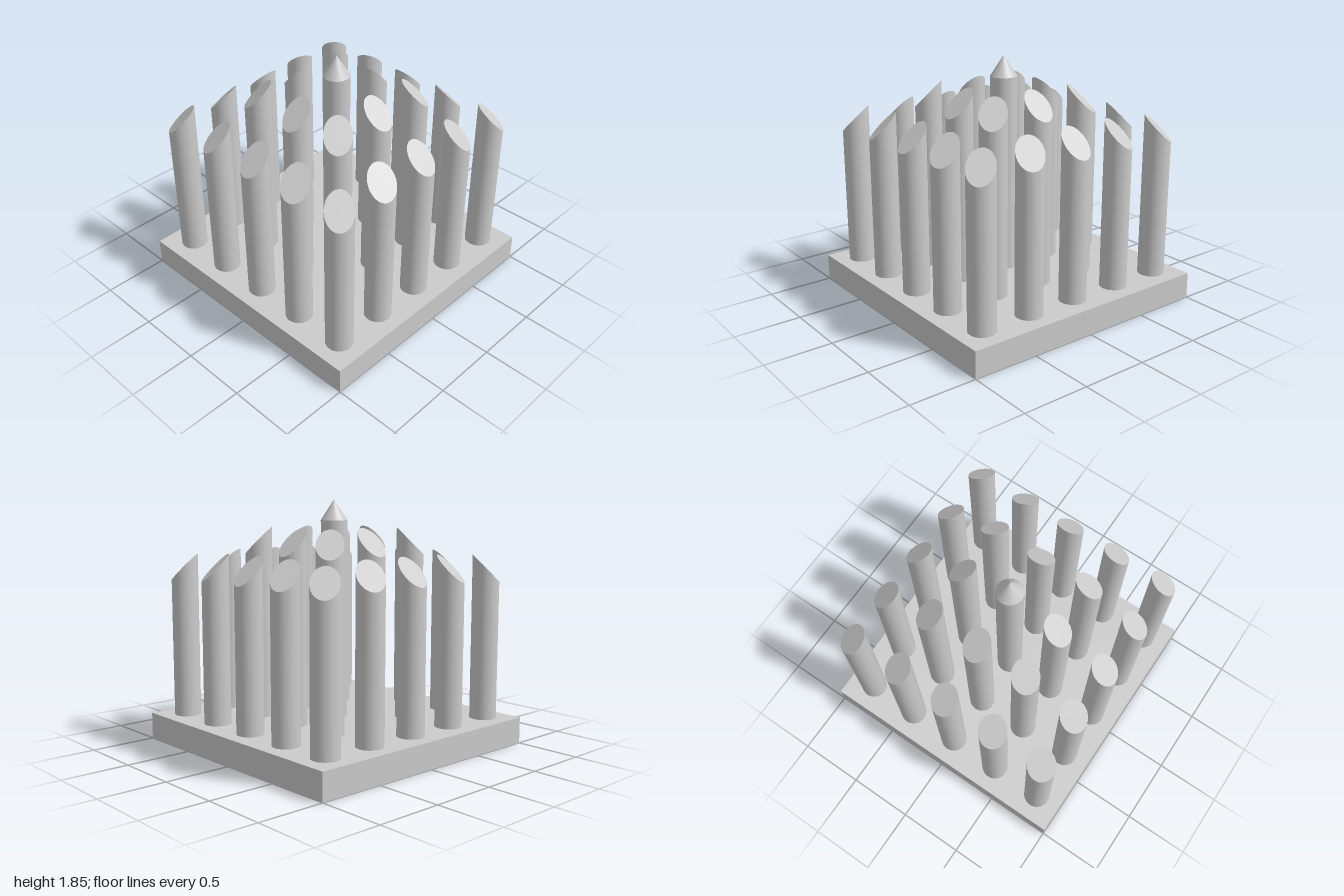
import * as THREE from 'three';

const material = new THREE.MeshStandardMaterial({ color: 0xcccccc });
const RADIUS = 0.1, BASE_TOP = 0.2, SPACING = 0.4;

// Round pillar whose top is cut at 45 degrees, the cut facing direction (dx, dz)
function cutPillar(height, dx, dz) {
  const geo = new THREE.CylinderGeometry(RADIUS, RADIUS, height, 48);
  geo.translate(0, height / 2, 0);
  const pos = geo.attributes.position, nor = geo.attributes.normal;
  for (let i = 0; i < pos.count; i++) {
    if (pos.getY(i) < height / 2) continue;
    pos.setY(i, height - pos.getX(i) * dx - pos.getZ(i) * dz);
    if (nor.getY(i) > 0.5) nor.setXYZ(i, dx * Math.SQRT1_2, Math.SQRT1_2, dz * Math.SQRT1_2);
  }
  return geo;
}

function add(parent, name, geometry, x, y, z) {
  const mesh = new THREE.Mesh(geometry, material);
  mesh.name = name;
  mesh.position.set(x, y, z);
  parent.add(mesh);
}

export function createModel() {
  const model = new THREE.Group();
  model.name = 'pillarGrid';

  // Square base slab
  add(model, 'base', new THREE.BoxGeometry(2, BASE_TOP, 2), 0, BASE_TOP / 2, 0);

  // Two square rings of pillars, each top sloping away from the centre
  const pillars = new THREE.Group();
  pillars.name = 'pillars';
  model.add(pillars);
  for (let i = -2; i <= 2; i++) {
    for (let j = -2; j <= 2; j++) {
      const ring = Math.max(Math.abs(i), Math.abs(j));
      if (ring === 0) continue;
      const corner = Math.abs(i) === 2 && Math.abs(j) === 2;
      const top = ring === 1 ? 1.54 : corner ? 1.335 : 1.355;
      const d = Math.hypot(i, j);
      add(pillars, ring === 1 ? 'innerPillar' : 'outerPillar',
        cutPillar(top - BASE_TOP, i / d, j / d), i * SPACING, BASE_TOP, j * SPACING);
    }
  }

  // Central pillar with a conical tip
  const shaft = 1.69 - BASE_TOP, tip = 0.155;
  add(model, 'centrePillar', new THREE.CylinderGeometry(RADIUS, RADIUS, shaft, 48), 0, BASE_TOP + shaft / 2, 0);
  add(model, 'centreTip', new THREE.ConeGeometry(RADIUS, tip, 48), 0, 1.69 + tip / 2, 0);

  return model;
}
